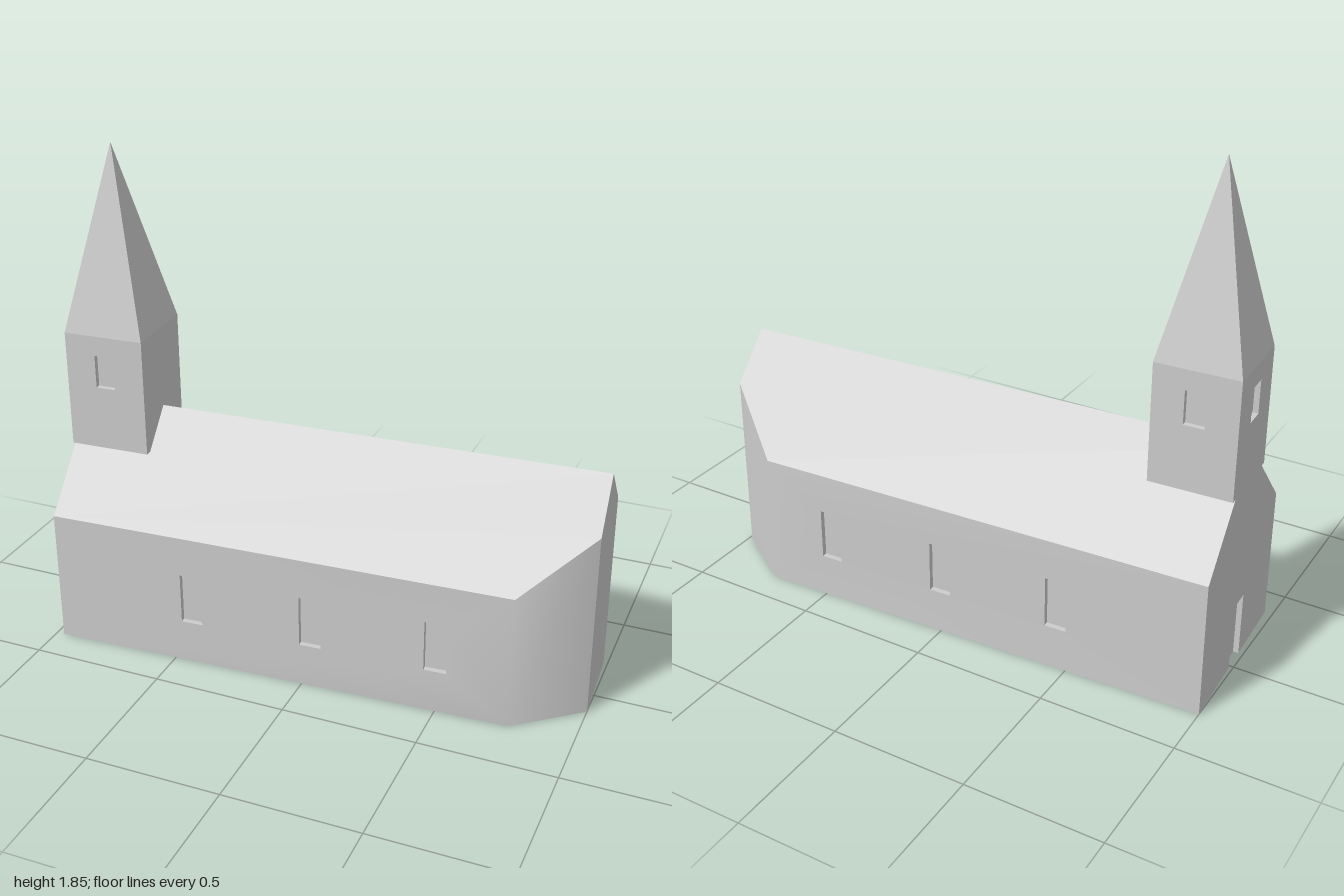
import * as THREE from 'three';
import { mergeGeometries, toCreasedNormals } from 'three/addons/utils/BufferGeometryUtils.js';

// Nave: half length, half width, eaves and ridge; the east end is chamfered
const L = 0.99, W = 0.335, EAVES = 0.512, RIDGE = 0.865;
const CX = 0.747, CW = 0.158, CH = RIDGE - (RIDGE - EAVES) * CW / W;
const DOOR_W = 0.1, DOOR_H = 0.25, DEPTH = 0.02;
// Tower
const TX = -0.838, TH = 0.152, T0 = 0.73, T1 = 1.17, APEX = 1.845;

// Keep positions only, so all pieces can be merged
function bare(geo) {
  const g = geo.index ? geo.toNonIndexed() : geo;
  g.deleteAttribute('uv');
  g.deleteAttribute('normal');
  return g;
}

// Flat convex polygon, counter-clockwise from outside
function poly(points, flip = false) {
  const p = flip ? [...points].reverse() : points;
  const v = [];
  for (let i = 1; i < p.length - 1; i++) v.push(...p[0], ...p[i], ...p[i + 1]);
  const g = new THREE.BufferGeometry();
  g.setAttribute('position', new THREE.Float32BufferAttribute(v, 3));
  return g;
}

// Inward-facing niche behind the plane z = 0, open at the front
function niche(u, v, w, h, openBottom = false) {
  const g = new THREE.BoxGeometry(w, h, DEPTH).scale(1, 1, -1).translate(u, v, -DEPTH / 2);
  const idx = Array.from(g.index.array);
  g.setIndex([...idx.slice(0, 18), ...(openBottom ? [] : idx.slice(18, 24)), ...idx.slice(24, 30)]);
  return bare(g);
}

// Wall panel with recessed openings [u, v, w, h], turned and moved into place
function panel(outline, openings, angle, x, z) {
  const shape = new THREE.Shape(outline.map(([a, b]) => new THREE.Vector2(a, b)));
  for (const [u, v, w, h] of openings) {
    const a = w / 2, b = h / 2;
    shape.holes.push(new THREE.Path([[-a, -b], [-a, b], [a, b], [a, -b]]
      .map(([i, j]) => new THREE.Vector2(u + i, v + j))));
  }
  const parts = [bare(new THREE.ShapeGeometry(shape)), ...openings.map(o => niche(...o))];
  return parts.map(g => g.rotateY(angle).translate(x, 0, z));
}

const rect = (u0, u1, v0, v1) => [[u0, v0], [u1, v0], [u1, v1], [u0, v1]];

export function createModel() {
  const stone = new THREE.MeshStandardMaterial({ color: 0xcccccc });
  stone.name = 'stone grey';
  const model = new THREE.Group();
  model.name = 'church';
  const add = (name, parts) => {
    const mesh = new THREE.Mesh(toCreasedNormals(mergeGeometries(parts), 0.7), stone);
    mesh.name = name;
    model.add(mesh);
  };

  // Nave walls: long sides with three windows, and chamfered corners
  const walls = [], roof = [];
  for (const s of [1, -1]) {
    const windows = [-0.447, 0.014, 0.478].map(x => [s * x, 0.262, 0.082, 0.195]);
    const ends = [-L * s, CX * s].sort((a, b) => a - b);
    walls.push(...panel(rect(...ends, 0, EAVES), windows, s > 0 ? 0 : Math.PI, 0, s * W));
    walls.push(poly([[CX, 0, s * W], [L, 0, s * CW], [L, CH, s * CW], [CX, EAVES, s * W]], s < 0));
    roof.push(poly([[-L, EAVES, s * W], [CX, EAVES, s * W], [L, CH, s * CW],
      [L, RIDGE, 0], [-L, RIDGE, 0]], s < 0));
  }
  // East end
  walls.push(poly([[L, 0, CW], [L, 0, -CW], [L, CH, -CW], [L, RIDGE, 0], [L, CH, CW]]));
  // West gable with a recessed doorway
  const d = DOOR_W / 2;
  walls.push(...panel([[-W, 0], [-d, 0], [-d, DOOR_H], [d, DOOR_H], [d, 0], [W, 0],
    [W, EAVES], [0, RIDGE], [-W, EAVES]], [], -Math.PI / 2, -L, 0));
  walls.push(niche(0, DOOR_H / 2, DOOR_W, DOOR_H, true).rotateY(-Math.PI / 2).translate(-L, 0, 0));
  add('naveWalls', walls);
  add('naveRoof', roof);

  // Underside, notched at the doorway
  const plan = [[-L, -W], [CX, -W], [L, -CW], [L, CW], [CX, W], [-L, W],
    [-L, d], [-L + DEPTH, d], [-L + DEPTH, -d], [-L, -d]];
  const floor = new THREE.Shape(plan.map(([x, z]) => new THREE.Vector2(x, z)));
  add('floor', [bare(new THREE.ShapeGeometry(floor).rotateX(Math.PI / 2))]);

  // Tower: belfry windows on every side but the east
  const tower = [];
  for (let i = 0; i < 4; i++) {
    const a = i * Math.PI / 2;
    const windows = i === 1 ? [] : [[0, 1.033, 0.075, 0.125]];
    tower.push(...panel(rect(-TH, TH, T0, T1), windows, a, TX + TH * Math.sin(a), TH * Math.cos(a)));
  }
  tower.push(bare(new THREE.PlaneGeometry(2 * TH, 2 * TH).rotateX(Math.PI / 2).translate(TX, T0, 0)));
  add('tower', tower);

  // Spire
  const spire = new THREE.ConeGeometry(TH * Math.SQRT2, APEX - T1, 4, 1, true)
    .rotateY(Math.PI / 4).translate(TX, (APEX + T1) / 2, 0);
  add('spire', [bare(spire)]);

  // The building stands slightly turned
  model.rotation.y = 0.044;
  model.position.set(0.004, 0, -0.009);
  const root = new THREE.Group();
  root.add(model);
  return root;
}
